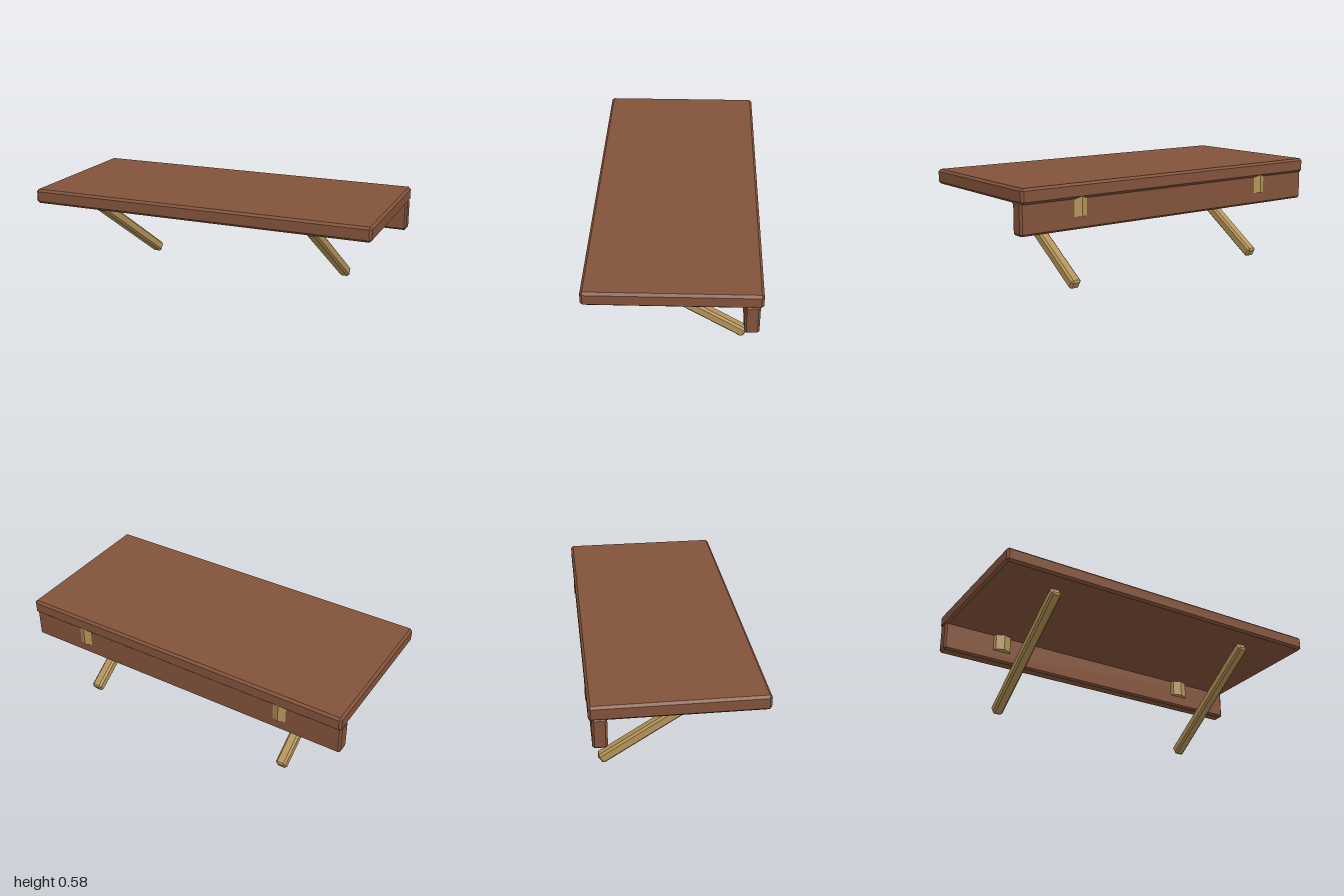
import * as THREE from 'three';
import { ConvexGeometry } from 'three/addons/geometries/ConvexGeometry.js';

// Box with flat chamfered edges
function chamferedBox(w, h, d, c) {
  const points = [];
  for (const sx of [-1, 1]) for (const sy of [-1, 1]) for (const sz of [-1, 1]) {
    const x = w / 2, y = h / 2, z = d / 2;
    points.push(
      new THREE.Vector3(sx * x, sy * (y - c), sz * (z - c)),
      new THREE.Vector3(sx * (x - c), sy * y, sz * (z - c)),
      new THREE.Vector3(sx * (x - c), sy * (y - c), sz * z));
  }
  return new ConvexGeometry(points);
}

export function createModel() {
  const group = new THREE.Group();
  const darkWood = new THREE.MeshStandardMaterial({ color: 0x82523a });
  darkWood.name = 'darkWood';
  const lightWood = new THREE.MeshStandardMaterial({ color: 0xb49358 });
  lightWood.name = 'lightWood';

  const add = (name, geometry, material, x, y, z) => {
    const mesh = new THREE.Mesh(geometry, material);
    mesh.name = name;
    mesh.position.set(x, y, z);
    group.add(mesh);
    return mesh;
  };

  // Shelf board and the rail under its back edge
  add('shelfBoard', chamferedBox(2, 0.083, 0.918, 0.013), darkWood, 0, 0.5365, 0);
  add('backRail', chamferedBox(2, 0.175, 0.078, 0.011), darkWood, 0, 0.4195, -0.404);

  // Eight-sided pegs through the rail, and slanted struts
  const pegGeometry = new THREE.CylinderGeometry(0.066, 0.066, 0.115, 8).toNonIndexed();
  pegGeometry.computeVertexNormals();
  const strutGeometry = chamferedBox(0.06, 0.06, 0.852, 0.011);
  for (const [side, s] of [['left', 1], ['right', -1]]) {
    add(side + 'Peg', pegGeometry, lightWood, s * 0.64, 0.4575, -0.393);
    const strut = add(side + 'Strut', strutGeometry, lightWood, s * 0.64, 0.2525, -0.034);
    strut.rotation.x = -THREE.MathUtils.degToRad(33);
  }
  return group;
}
